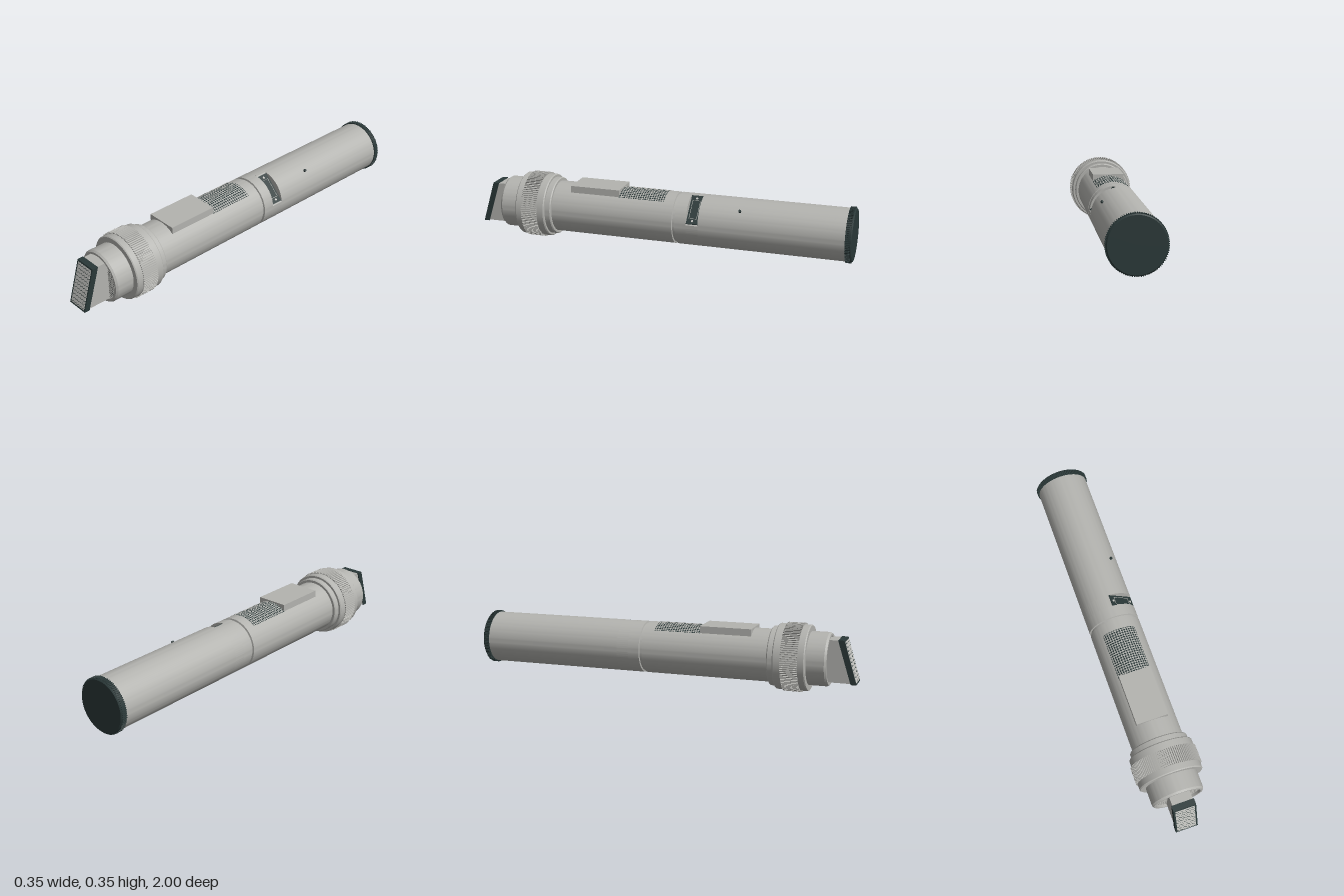
import * as THREE from 'three';
import { toCreasedNormals } from 'three/addons/utils/BufferGeometryUtils.js';

const AXIS_Y = 0.173, R = 0.134;

export function createModel() {
  const mat = (name, color) => {
    const m = new THREE.MeshStandardMaterial({ color });
    m.name = name;
    return m;
  };
  const grey = mat('satin grey', 0xb3b3af);
  const dark = mat('dark slate', 0x2a3838);
  const pale = mat('pale grey', 0xc4c4c0);

  const model = new THREE.Group();
  model.name = 'handheldTube';
  const body = new THREE.Group();
  body.name = 'body';
  body.position.y = AXIS_Y;
  model.add(body);

  const add = (parent, name, geo, material, x = 0, y = 0, z = 0) => {
    const m = new THREE.Mesh(geo, material);
    m.name = name;
    m.position.set(x, y, z);
    parent.add(m);
    return m;
  };
  // Turned part along z, profile given as [radius, z] from back to front
  const turned = (name, pts, material) => {
    const g = new THREE.LatheGeometry(pts.map(p => new THREE.Vector2(...p)), 96);
    g.rotateX(Math.PI / 2);
    return add(body, name, toCreasedNormals(g, 0.5), material);
  };
  const extrude = (shape, depth, seg = 48) =>
    new THREE.ExtrudeGeometry(shape, { depth, bevelEnabled: false, curveSegments: seg });
  // Ring of small ridges
  const ridged = (name, rIn, rOut, n, z0, z1, material) => {
    const s = new THREE.Shape();
    for (let i = 0; i < n; i++) {
      [[0, rIn], [0.45, rIn], [0.55, rOut], [0.9, rOut]].forEach(([t, r], k) => {
        const a = (i + t) / n * Math.PI * 2;
        s[i + k ? 'lineTo' : 'moveTo'](r * Math.cos(a), r * Math.sin(a));
      });
    }
    s.closePath();
    const hole = new THREE.Path();
    hole.absarc(0, 0, rIn - 0.012, 0, Math.PI * 2, true);
    s.holes.push(hole);
    add(body, name, extrude(s, z1 - z0), material, 0, 0, z0);
  };

  // Rear tube and end cap
  turned('rearTube', [[0, -0.975], [R, -0.975], [R, -0.228], [0, -0.228]], grey);
  turned('endCap', [[0, -1], [0.132, -1], [0.137, -0.995], [0.137, -0.968], [0.13, -0.966]], dark);
  ridged('endCapRidges', 0.136, 0.141, 90, -0.993, -0.968, dark);

  // Tube section with a flat notch on the upper left
  const half = Math.acos(0.1 / R);
  const d = new THREE.Shape();
  d.absarc(0, 0, R, Math.PI / 4 + half, Math.PI * 2.25 - half, false);
  d.closePath();
  add(body, 'notchedTube', toCreasedNormals(extrude(d, 0.063, 96), 0.5), grey, 0, 0, -0.228);

  // Front tube with joint groove, stepped collar and open nose
  turned('frontTube', [
    [0, -0.165], [R, -0.165], [R, -0.106], [0.125, -0.104], [0.125, -0.092], [R, -0.09],
    [R, 0.568], [0.147, 0.568], [0.151, 0.573], [0.151, 0.6],
    [0.162, 0.6], [0.166, 0.605], [0.166, 0.757], [0.162, 0.762],
    [0.135, 0.762], [0.135, 0.852], [0.128, 0.862], [0.117, 0.862], [0.115, 0.845], [0, 0.845],
  ], grey);
  ridged('gripRing', 0.167, 0.173, 100, 0.64, 0.727, grey);

  // Control panel in the notch; local x points out of the flat
  const panel = new THREE.Group();
  panel.name = 'controlPanel';
  panel.position.z = -0.1965;
  panel.rotation.z = Math.PI / 4;
  body.add(panel);
  add(panel, 'panelPlate', new THREE.BoxGeometry(0.008, 0.164, 0.061), dark, 0.101);
  for (const s of [-1, 1]) {
    add(panel, 'screenSide', new THREE.BoxGeometry(0.002, 0.104, 0.002), grey, 0.1055, 0, s * 0.02);
    add(panel, 'screenEnd', new THREE.BoxGeometry(0.002, 0.002, 0.042), grey, 0.1055, s * 0.052, 0);
    const dot = new THREE.CylinderGeometry(0.006, 0.006, 0.003, 16).rotateZ(-Math.PI / 2);
    add(panel, 'indicator', dot, pale, 0.106, s * 0.065, 0);
  }
  add(panel, 'panelKnob', new THREE.CylinderGeometry(0.007, 0.007, 0.016, 16).rotateZ(-Math.PI / 2),
    dark, R + 0.002, 0, -0.24);

  // Curved grille on top
  const spread = 0.68, z0 = -0.035, z1 = 0.21;
  const arc = (r, len) => new THREE.CylinderGeometry(r, r, len, 32, 1, true,
    Math.PI - spread, spread * 2).rotateX(Math.PI / 2);
  add(body, 'grilleBack', arc(R + 0.0006, z1 - z0), dark, 0, 0, (z0 + z1) / 2);
  for (let i = 0; i <= 18; i++)
    add(body, 'grilleHoop', arc(R + 0.0016, 0.004), grey, 0, 0, z0 + 0.007 + i * 0.0125);
  for (let i = 0; i < 14; i++) {
    const a = (i - 6.5) / 7 * spread;
    const w = add(body, 'grilleBar', new THREE.BoxGeometry(0.004, 0.003, z1 - z0), grey,
      Math.sin(a) * R, Math.cos(a) * R, (z0 + z1) / 2);
    w.rotation.z = -a;
  }

  // Slide switch
  add(body, 'slider', new THREE.BoxGeometry(0.166, 0.04, 0.267), grey, 0, 0.121, 0.341);

  // Mesh disc inside the nose
  add(body, 'noseMeshBack', new THREE.CircleGeometry(0.1145, 64), dark, 0, 0, 0.847);
  for (let i = -9; i <= 9; i++) {
    const p = i * 0.0118, len = 2 * Math.sqrt(0.114 ** 2 - p * p);
    add(body, 'noseMeshColumn', new THREE.BoxGeometry(0.005, len, 0.003), grey, p, 0, 0.848);
    add(body, 'noseMeshRow', new THREE.BoxGeometry(len, 0.005, 0.003), grey, 0, p, 0.848);
  }

  // Slanted head: side profiles given as [z, y]
  const slab = (name, pts, width, material) => {
    const s = new THREE.Shape(pts.map(([z, y]) => new THREE.Vector2(-z, y)));
    const g = extrude(s, width).translate(0, 0, -width / 2).rotateY(Math.PI / 2);
    add(model, name, g, material);
  };
  slab('headBlock', [[0.84, 0.068], [0.975, 0.068], [0.91, 0.28], [0.84, 0.28]], 0.106, grey);
  slab('headFrame', [[0.972, 0.064], [1, 0.064], [0.935, 0.282], [0.904, 0.282]], 0.117, dark);

  // Face of the head with rows of scallops
  const face = new THREE.Group();
  face.name = 'headFace';
  face.position.set(0, 0.173, 0.9675);
  face.rotation.x = -Math.atan2(0.065, 0.218);
  model.add(face);
  add(face, 'facePlate', new THREE.BoxGeometry(0.1, 0.21, 0.003), pale);
  const wave = [], N = 60;
  for (let i = 0; i <= N; i++)
    wave.push(new THREE.Vector2(-0.05 + 0.1 * i / N, -0.006 * Math.abs(Math.sin(i / N * Math.PI * 5))));
  const lower = wave.map(p => new THREE.Vector2(p.x, p.y - 0.0025)).reverse();
  const waveGeo = new THREE.ShapeGeometry(new THREE.Shape([...wave, ...lower]));
  for (let i = 0; i < 11; i++)
    add(face, 'scallopRow', waveGeo, dark, 0, 0.1 - i * 0.0192, 0.0022);

  return model;
}
